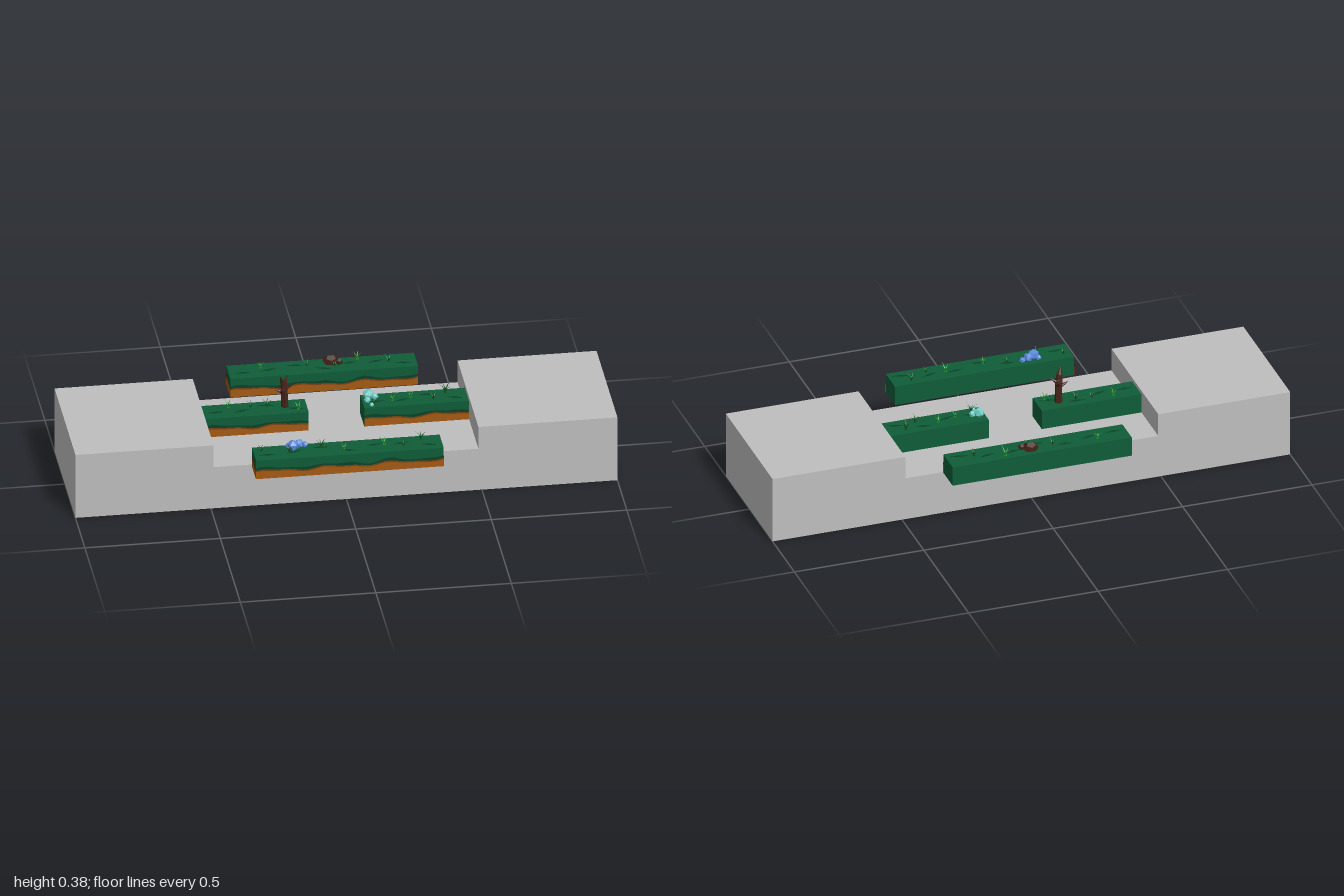
import * as THREE from 'three';

const mat = (name, color) => {
  const m = new THREE.MeshStandardMaterial({ color, side: THREE.DoubleSide, flatShading: true });
  m.name = name;
  return m;
};

export function createModel() {
  const concrete = mat('concrete', 0xbebebe);
  const moss = mat('moss green', 0x0f5c38);
  const mossDark = mat('dark moss', 0x0a4229);
  const leafDark = mat('dark leaf', 0x125a24);
  const leafBright = mat('bright leaf', 0x1f9a2e);
  const soil = mat('soil', 0xa55a12);
  const soilDark = mat('dark soil', 0x7c420e);
  const bark = mat('bark', 0x44241a);
  const blue = mat('blue petals', 0x5c8ce0);
  const cyan = mat('cyan petals', 0x72cfc8);

  const model = new THREE.Group();
  model.name = 'plantedPlatform';
  const add = (parent, name, geo, material, x = 0, y = 0, z = 0) => {
    const m = new THREE.Mesh(geo, material);
    m.name = name;
    m.position.set(x, y, z);
    parent.add(m);
    return m;
  };

  // Platform: one block with a sunken middle
  const FLOOR = 0.17, TOP = 0.246;
  const outline = new THREE.Shape([[-1, 0], [1, 0], [1, 0.26], [0.487, 0.26], [0.487, FLOOR],
    [-0.49, FLOOR], [-0.49, 0.26], [-1, 0.26]].map(p => new THREE.Vector2(...p)));
  add(model, 'platform', new THREE.ExtrudeGeometry(outline, { depth: 0.522, bevelEnabled: false }),
    concrete, 0, 0, -0.257);

  // Flat strip with wavy lower and upper edges, used on the planter sides
  const waveStrip = (len, low, high) => {
    const pts = [];
    const n = Math.max(4, Math.round(len * 40));
    for (let i = 0; i <= n; i++) pts.push(new THREE.Vector2(len * (i / n - 0.5), high(len * i / n)));
    for (let i = n; i >= 0; i--) pts.push(new THREE.Vector2(len * (i / n - 0.5), low(len * i / n)));
    return new THREE.ShapeGeometry(new THREE.Shape(pts));
  };
  const wave = s => 0.033 + 0.005 * Math.sin(s * 28) + 0.003 * Math.sin(s * 53 + 1);
  const paintSide = (g, len, x, z, turn) => {
    const bands = [
      ['soilBand', soil, () => 0.0005, s => wave(s) - 0.006],
      ['darkSoilBand', soilDark, s => wave(s) - 0.006, wave],
      ['mossShadeBand', mossDark, wave, s => wave(s) + 0.009 + 0.003 * Math.sin(s * 41)],
    ];
    for (const [name, m, low, high] of bands) {
      add(g, name, waveStrip(len, low, high), m, x, FLOOR, z).rotation.y = turn;
    }
  };

  // Planter: mossy block, painted soil bands, dark streaks on top
  const planter = (name, x0, x1, z0, z1, paintedEnd) => {
    const g = new THREE.Group();
    g.name = name;
    model.add(g);
    const w = x1 - x0, d = z1 - z0, cx = (x0 + x1) / 2, cz = (z0 + z1) / 2;
    add(g, 'mossBlock', new THREE.BoxGeometry(w, TOP - FLOOR, d), moss, cx, (TOP + FLOOR) / 2, cz);
    paintSide(g, w, cx, z1 + 0.001, 0);
    if (paintedEnd) paintSide(g, d, x0 - 0.001, cz, -Math.PI / 2);
    const streaks = Math.round(w / 0.1);
    for (let i = 0; i < streaks; i++) {
      const streak = add(g, 'mossStreak', new THREE.CircleGeometry(0.035, 4), mossDark,
        x0 + w * (i + 0.5) / streaks, TOP + 0.001, cz + 0.02 * Math.sin(i * 2.3 + w));
      streak.scale.set(1, 0.2, 1);
      streak.rotation.set(-Math.PI / 2, 0, 0.3 * Math.sin(i * 1.7));
    }
    return g;
  };
  const front = planter('frontPlanter', -0.35, 0.342, 0.276, 0.38, true);
  const back = planter('backPlanter', -0.35, 0.342, -0.366, -0.261, true);
  const midRight = planter('innerPlanterRight', -0.49, -0.105, -0.07, 0.033, false);
  const midLeft = planter('innerPlanterLeft', 0.1, 0.486, -0.07, 0.033, false);

  // Grass blade: flattened cone bent sideways toward its tip
  const blade = (h, lean) => {
    const geo = new THREE.ConeGeometry(0.0055, h, 4, 3);
    geo.translate(0, h / 2, 0);
    const p = geo.attributes.position;
    for (let i = 0; i < p.count; i++) {
      const t = p.getY(i) / h;
      p.setXYZ(i, p.getX(i) * 0.5 + lean * t * t, p.getY(i) * (1 - 0.15 * t), p.getZ(i));
    }
    geo.computeVertexNormals();
    return geo;
  };
  const tuft = (g, x, z, h, material, count = 5) => {
    for (let i = 0; i < count; i++) {
      const k = 0.7 + 0.3 * Math.abs(Math.sin(i * 2.1 + x * 30));
      add(g, 'grassBlade', blade(h * k, h * 0.55 * k), material, x, TOP - 0.002, z)
        .rotation.y = i * Math.PI * 2 / count + x * 20;
    }
  };
  const B = leafBright, D = leafDark;
  [[-0.32, 0.31, 0.03, D], [-0.22, 0.335, 0.04, D], [-0.1, 0.31, 0.042, D], [-0.02, 0.34, 0.03, B],
    [0.13, 0.325, 0.042, B], [0.2, 0.34, 0.03, D], [0.27, 0.302, 0.04, D]].forEach(t => tuft(front, ...t));
  [[-0.23, -0.33, 0.03, B], [-0.06, -0.32, 0.03, D], [0.04, -0.305, 0.03, D], [0.13, -0.345, 0.045, B],
    [0.24, -0.31, 0.035, D]].forEach(t => tuft(back, ...t));
  [[-0.39, -0.045, 0.035, B], [-0.31, -0.035, 0.03, D], [-0.25, -0.03, 0.04, D],
    [-0.14, 0.005, 0.035, B]].forEach(t => tuft(midRight, ...t));
  [[0.14, 0.01, 0.04, D], [0.21, -0.01, 0.035, B], [0.28, -0.025, 0.03, B], [0.36, 0.0, 0.035, D],
    [0.41, -0.04, 0.055, D]].forEach(t => tuft(midLeft, ...t));

  // Flower clumps: small faceted heads
  const clump = (g, name, material, heads) => heads.forEach(([x, y, z, r]) =>
    add(g, name, new THREE.IcosahedronGeometry(r, 0), material, x, y, z).rotation.set(x * 40, z * 30, 0));
  clump(front, 'blueFlower', blue, [[-0.205, 0.263, 0.312, 0.022], [-0.18, 0.262, 0.3, 0.018],
    [-0.158, 0.256, 0.298, 0.012], [-0.22, 0.255, 0.3, 0.012]]);
  clump(midLeft, 'cyanFlower', cyan, [[0.125, 0.264, -0.036, 0.021], [0.148, 0.258, -0.028, 0.014],
    [0.118, 0.255, -0.012, 0.013], [0.13, 0.25, 0.018, 0.009]]);

  // Stump on the back planter
  const stump = add(back, 'brownStump', new THREE.DodecahedronGeometry(0.024, 0), bark, 0.03, 0.257, -0.332);
  stump.scale.set(1.3, 0.9, 0.95);
  add(back, 'brownStumpKnob', new THREE.DodecahedronGeometry(0.013, 0), bark, 0.06, 0.256, -0.32);

  // Bare tree: tapered limbs between points
  const tree = new THREE.Group();
  tree.name = 'bareTree';
  model.add(tree);
  const limb = (name, a, b, r0, r1) => {
    const from = new THREE.Vector3(...a), dir = new THREE.Vector3(...b).sub(from);
    const geo = new THREE.CylinderGeometry(r1, r0, dir.length(), 6);
    geo.translate(0, dir.length() / 2, 0);
    add(tree, name, geo, bark, ...a).quaternion.setFromUnitVectors(
      new THREE.Vector3(0, 1, 0), dir.normalize());
  };
  limb('trunk', [-0.185, 0.24, -0.024], [-0.187, 0.325, -0.02], 0.015, 0.012);
  limb('upperTrunk', [-0.187, 0.315, -0.02], [-0.195, 0.352, -0.013], 0.014, 0.009);
  limb('treeTip', [-0.195, 0.35, -0.013], [-0.205, 0.382, 0.003], 0.009, 0.001);
  limb('frontBranch', [-0.187, 0.322, -0.018], [-0.2, 0.328, 0.022], 0.012, 0.008);
  limb('frontTwig', [-0.2, 0.328, 0.02], [-0.205, 0.346, 0.037], 0.009, 0.001);
  limb('backBranch', [-0.187, 0.32, -0.022], [-0.178, 0.328, -0.053], 0.012, 0.008);
  limb('backTwig', [-0.178, 0.328, -0.051], [-0.172, 0.346, -0.067], 0.008, 0.001);
  limb('highTwig', [-0.19, 0.345, -0.018], [-0.17, 0.36, -0.05], 0.009, 0.001);
  limb('sideTwig', [-0.187, 0.32, -0.02], [-0.157, 0.342, -0.01], 0.009, 0.001);
  limb('lowTwig', [-0.187, 0.305, -0.02], [-0.225, 0.322, -0.02], 0.009, 0.001);
  return model;
}
